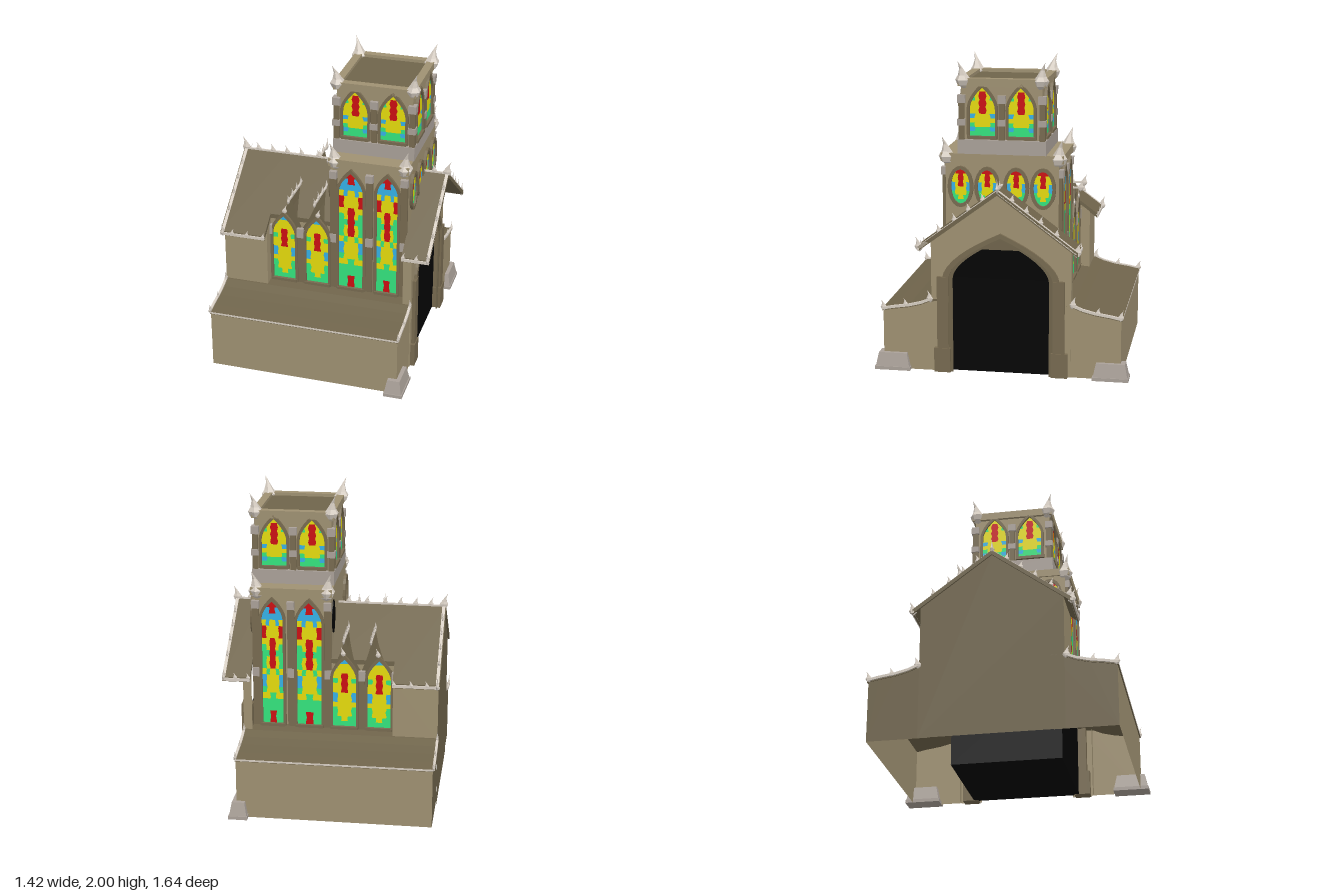
import * as THREE from 'three';

const mat = (name, color, extra = {}) => Object.assign(new THREE.MeshStandardMaterial({ color, ...extra }), { name });
const both = { side: THREE.DoubleSide };
const WALL = mat('wall stone', 0x9f9172, both);
const ROOF = mat('roof', 0x6f644b, both);
const FRAME = mat('frame stone', 0x776a50);
const TRIM = mat('pale trim', 0xd6cdc2);
const GREY = mat('grey stone', 0xaaa199);
const BLACK = mat('dark interior', 0x040404);
const GLASS = [mat('yellow glass', 0xe6dc0c, both), mat('red glass', 0xcc0e12, both), mat('green glass', 0x34e47e, both), mat('blue glass', 0x36b4ea, both)];

// Glass rows run top to bottom; each row is outer, middle, centre and is mirrored
const TALL = 'BRR BBR BBB YBY RYY RYY YYR GYR GGR GYR GYR YGY BYY BYY GYY YYG GGG GGG GGR GGR'.split(' ');
const AISLE = 'BBB BYY YYY YYR GYR YYR YYR BYY BYY YYY GYY GYY GGY GGG'.split(' ');
const BELFRY = 'YYY BYR GYR YYR YYR YYR BYY YYY GYY BGG GGG'.split(' ');
const ROUND = 'YRR YYR YYR BYR BYY GYY GGY GGG'.split(' ');

export function createModel() {
  const root = new THREE.Group();

  function add(geo, material, name, parent = root) {
    const m = new THREE.Mesh(geo, material);
    m.name = name;
    parent.add(m);
    return m;
  }
  // Box given by its limits
  function box(x0, x1, y0, y1, z0, z1, material, name, parent) {
    const m = add(new THREE.BoxGeometry(x1 - x0, y1 - y0, z1 - z0), material, name, parent);
    m.position.set((x0 + x1) / 2, (y0 + y1) / 2, (z0 + z1) / 2);
    return m;
  }
  // [z, y] outlines: solid along x, open shell along x, flat end wall
  const outlineX = pts => new THREE.Shape(pts.map(([z, y]) => new THREE.Vector2(-z, y)));
  function extrudeX(pts, x0, x1, material, name) {
    const g = new THREE.ExtrudeGeometry(outlineX(pts), { depth: x1 - x0, bevelEnabled: false });
    return add(g.rotateY(Math.PI / 2).translate(x0, 0, 0), material, name);
  }
  function shellX(pts, x0, x1, material, name) {
    const v = [];
    for (let i = 0; i + 1 < pts.length; i++) {
      const [[z, y], [w, u]] = [pts[i], pts[i + 1]];
      v.push(x0, y, z, x1, y, z, x1, u, w, x0, y, z, x1, u, w, x0, u, w);
    }
    const g = new THREE.BufferGeometry();
    g.setAttribute('position', new THREE.Float32BufferAttribute(v, 3));
    g.computeVertexNormals();
    add(g, material, name);
  }
  const wallX = (pts, x, material, name) =>
    add(new THREE.ShapeGeometry(outlineX(pts)).rotateY(Math.PI / 2).translate(x, 0, 0), material, name);
  // Square bar between two points
  function bar(a, b, t, material, name) {
    const A = new THREE.Vector3(...a), B = new THREE.Vector3(...b);
    const m = add(new THREE.BoxGeometry(t, t, A.distanceTo(B)), material, name);
    m.position.copy(A).add(B).multiplyScalar(0.5);
    m.lookAt(B);
  }
  // Pointed leaf ornament curling towards (dx, dz); flat when it follows an edge
  function horn(x, y, z, s, dx = 0, dz = 0, name = 'cornerHorn') {
    const pts = [[0, -0.5], [0.32, -0.25], [0.42, 0.02], [0.26, 0.25], [0.1, 0.6], [0, 1]];
    let g = new THREE.LatheGeometry(pts.map(p => new THREE.Vector2(...p)), 6);
    const p = g.attributes.position;
    for (let i = 0; i < p.count; i++) {
      const k = 0.35 * p.getY(i) * Math.abs(p.getY(i));
      p.setX(i, p.getX(i) * (dx ? 1 : 0.4) + dx * k);
      p.setZ(i, p.getZ(i) * (dz ? 1 : 0.4) + dz * k);
    }
    g = g.toNonIndexed();
    g.computeVertexNormals();
    g.scale(s, s, s);
    add(g, TRIM, name).position.set(x, y, z);
  }

  // Half width of a pointed arch opening at height y
  const archHalf = (y, w, spring, top) => y <= spring ? w : w * (1 - Math.min(1, (y - spring) / (top - spring)) ** 1.8);
  // Arch curve from the right foot over the top to the left foot
  function archPts(w, y0, spring, top) {
    const r = [[w, y0]];
    for (let i = 0; i <= 8; i++) {
      const y = spring + (top - spring) * i / 8;
      r.push([archHalf(y, w, spring, top), y]);
    }
    return r.concat(r.slice(0, -1).reverse().map(([a, b]) => [-a, b]));
  }
  const ovalPts = (w, y0, y1) => Array.from({ length: 20 }, (_, i) => {
    const a = i / 20 * Math.PI * 2;
    return [w * Math.cos(a), (y0 + y1) / 2 + (y1 - y0) / 2 * Math.sin(a)];
  });

  // Stained glass window with a raised frame, turned to face its wall
  function windowAt(name, rows, w, y0, y1, x, z, rot, round = false) {
    const g = new THREE.Group();
    g.name = name;
    g.position.set(x, 0, z);
    g.rotation.y = rot;
    root.add(g);
    const spring = y1 - w * 1.7, n = rows.length * 3;
    const half = y => round
      ? w * Math.sqrt(Math.max(0, 1 - ((2 * y - y0 - y1) / (y1 - y0)) ** 2))
      : archHalf(y, w, spring, y1);
    const edge = (c, y, i) => {
      const wob = c > 0 && c < 5 ? 0.04 * Math.sin(i * 1.3) * Math.sign(c - 2.5) : 0;
      const h = half(y);
      return Math.max(-h, Math.min(h, ([-1, -0.6, -0.28, 0.28, 0.6, 1][c] + wob) * w));
    };
    const bins = [[], [], [], []];
    for (let i = 0; i < n; i++) {
      const yt = y1 - (y1 - y0) * i / n, yb = y1 - (y1 - y0) * (i + 1) / n;
      const row = rows[Math.floor(i / 3)];
      for (let c = 0; c < 5; c++) {
        const a = [edge(c, yb, i + 1), yb, 0], b = [edge(c + 1, yb, i + 1), yb, 0];
        const d = [edge(c, yt, i), yt, 0], e = [edge(c + 1, yt, i), yt, 0];
        bins['YRGB'.indexOf(row[Math.min(c, 4 - c)])].push(...a, ...b, ...e, ...a, ...e, ...d);
      }
    }
    const geo = new THREE.BufferGeometry();
    geo.setAttribute('position', new THREE.Float32BufferAttribute(bins.flat(), 3));
    let start = 0;
    bins.forEach((b, i) => { geo.addGroup(start, b.length / 3, i); start += b.length / 3; });
    geo.computeVertexNormals();
    add(geo, GLASS, 'glass', g).position.z = 0.005;
    add(geo, GLASS, 'innerGlass', g).position.z = -0.013;

    const toV = p => p.map(q => new THREE.Vector2(...q));
    const b = round ? 0.022 : 0.018;
    const s = new THREE.Shape(toV(round ? ovalPts(w + b, y0 - b, y1 + b) : archPts(w + b, y0 - b, spring, y1 + b * 1.6)));
    s.holes.push(new THREE.Path(toV(round ? ovalPts(w, y0, y1) : archPts(w, y0, spring, y1))));
    add(new THREE.ExtrudeGeometry(s, { depth: 0.018, bevelEnabled: false }), FRAME, 'windowFrame', g);
    if (!round) box(-w - 0.01, w + 0.01, y0 - 0.02, y0, 0, 0.025, FRAME, 'windowSill', g);
  }

  // Hollow nave, tower shaft and porch, with an arched entrance
  const roofY = z => 1.2 - 0.74 * Math.abs(z);
  const gable = (W, y0 = 0.46) => [[-W, y0], [-W, roofY(W)], [0, 1.2], [W, roofY(W)], [W, y0]];
  const W = 0.36;
  shellX(gable(0.45), -0.69, -0.4, WALL, 'naveEnd');
  wallX(gable(0.45, 0), -0.69, ROOF, 'naveBackWall');
  for (const s of [-1, 1]) wallX([[s * W, 0.46], [s * 0.45, 0.46], [s * 0.45, roofY(0.45)], [s * W, roofY(W)]], -0.4, WALL, 'naveReturn');
  shellX(gable(W), -0.4, 0.01, WALL, 'naveBody');
  shellX([[-W, 0.46], [-W, 1.4], [W, 1.4], [W, 0.46]], 0.01, 0.515, WALL, 'towerShaft');
  for (const x of [0.01, 0.515])
    wallX([[-W, 0.46], [-W, 1.4], [W, 1.4], [W, 0.46], [0.345, 0.46], [0.345, 0.88], [0, 1.15], [-0.345, 0.88], [-0.345, 0.46]], x, WALL, 'towerEnd');
  shellX(gable(0.45, 0), 0.515, 0.57, WALL, 'porchSide');
  wallX([...gable(0.45, 0), ...archPts(0.31, 0, 0.62, 0.88)], 0.57, WALL, 'porchWall');
  box(-0.19, 0.54, 0.001, 0.62, -0.355, 0.355, BLACK, 'darkInterior');

  // Roof slabs
  function roofSlab(H, x0, x1, trimmed) {
    const t = 0.025;
    extrudeX([[-H, roofY(H) - 0.005], [-H, roofY(H) + t], [0, 1.2 + t], [H, roofY(H) + t], [H, roofY(H) - 0.005], [0, 1.195]], x0, x1, ROOF, 'naveRoof');
    if (trimmed) for (const s of [-1, 1]) bar([x0, roofY(H) + 0.01, s * H], [x1, roofY(H) + 0.01, s * H], 0.018, TRIM, 'eaveTrim');
  }
  roofSlab(0.5, -0.7, -0.4, true);
  roofSlab(0.365, -0.4, 0.01, false);
  roofSlab(0.505, 0.515, 0.695, true);
  bar([-0.7, 1.225, 0], [0.01, 1.225, 0], 0.012, TRIM, 'ridgeTrim');
  bar([0.515, 1.225, 0], [0.695, 1.225, 0], 0.012, TRIM, 'ridgeTrim');
  for (const x of [-0.6, -0.5, -0.4, -0.3, -0.18, -0.06, 0.6]) horn(x, 1.235, 0, 0.045, -1, 0, 'ridgeCrest');
  for (const [x, d] of [[-0.685, -1], [0.685, 1]]) {
    horn(x, 1.235, 0, 0.075, d, 0, 'ridgeFinial');
    for (const s of [-1, 1]) {
      bar([x, 1.218, 0], [x, roofY(0.5) + 0.015, s * 0.5], 0.02, TRIM, 'gableTrim');
      for (const z of [0.09, 0.18, 0.27, 0.37]) horn(x, roofY(z) + 0.03, s * z, 0.045, 0, s, 'gableCrest');
      horn(x, roofY(0.5) + 0.02, s * 0.5, 0.065, 0, s, 'eaveFinial');
    }
  }
  for (const s of [-1, 1]) for (const x of [-0.62, -0.52, -0.41, 0.525, 0.61])
    horn(x, roofY(0.5) + 0.02, s * 0.505, 0.035, 1, 0, 'eaveCrest');

  // Side aisles with swept roofs, open below
  const sweep = [[0.775, 0.4], [0.7, 0.415], [0.6, 0.43], [0.52, 0.45], [0.46, 0.475], [0.36, 0.485]];
  for (const s of [-1, 1]) {
    const m = p => p.map(([z, y]) => [z * s, y]);
    const end = m([[0.38, 0], [0.768, 0], [0.768, 0.39], ...sweep.slice(1).map(([z, y]) => [z, y - 0.01]), [0.38, 0.47]]);
    shellX(m([[0.768, 0], [0.768, 0.395]]), -0.685, 0.565, WALL, 'aisleWall');
    wallX(end, -0.685, ROOF, 'aisleBackWall');
    wallX(end, 0.565, WALL, 'aisleFrontWall');
    extrudeX(m([...sweep, ...sweep.map(([z, y]) => [z, y - 0.015]).reverse()]), -0.69, 0.57, ROOF, 'aisleRoof');
    bar([-0.69, 0.394, s * 0.77], [0.57, 0.394, s * 0.77], 0.012, TRIM, 'aisleEave');
    for (const x of [-0.69, 0.568]) {
      for (let i = 0; i < 4; i++)
        bar([x, sweep[i][1], s * sweep[i][0]], [x, sweep[i + 1][1], s * sweep[i + 1][0]], 0.016, TRIM, 'aisleEdgeTrim');
      horn(x, 0.41, s * 0.765, 0.05, 0, s, 'aisleFinial');
      horn(x, 0.435, s * 0.62, 0.04, 0, s, 'aisleCrest');
      horn(x, 0.48, s * 0.46, 0.055, 0, s, 'aisleCrest');
    }
    // Tapered foot at the entrance corner
    const foot = new THREE.BoxGeometry(0.12, 0.11, 0.23), p = foot.attributes.position;
    for (let i = 0; i < p.count; i++) if (p.getY(i) > 0) { p.setX(i, p.getX(i) * 0.68); p.setZ(i, p.getZ(i) * 0.8); }
    foot.computeVertexNormals();
    add(foot, GREY, 'cornerFoot').position.set(0.55, 0.055, s * 0.705);
    box(0.49, 0.612, 0, 0.022, s * 0.705 - 0.116, s * 0.705 + 0.116, GREY, 'footBase');
  }

  // Portal surround
  for (const [wo, to, wi, ti, d, m] of [[0.375, 0.925, 0.335, 0.895, 0.018, FRAME], [0.335, 0.895, 0.31, 0.88, 0.009, ROOF]])
    extrudeX([...archPts(wo, 0, 0.62, to), ...archPts(wi, 0, 0.62, ti).reverse()], 0.57, 0.57 + d, m, 'portalArch');
  for (const s of [-1, 1]) {
    const jamb = (a, b, y, x) => box(0.52, x, 0, y, Math.min(s * a, s * b), Math.max(s * a, s * b), FRAME, 'portalJamb');
    jamb(0.335, 0.41, 0.63, 0.592);
    jamb(0.325, 0.43, 0.16, 0.598);
  }

  // Long walls: aisle windows, dormers, tall tower windows and piers
  for (const s of [-1, 1]) {
    const rot = s > 0 ? 0 : Math.PI;
    const zBox = (x, w, y0, y1, d, m, name) =>
      box(x - w, x + w, y0, y1, Math.min(s * W, s * (W + d)), Math.max(s * W, s * (W + d)), m, name);
    for (const [x, ridge, l, r] of [[-0.305, -0.255, 0.145, 0.07], [-0.08, -0.08, 0.11, 0.085]]) {
      windowAt('aisleWindow', AISLE, 0.075, 0.5, 0.96, x, s * 0.37, rot);
      // Dormer with concave slopes running back into the roof
      const curve = [[1, 0.87], [0.72, 0.92], [0.42, 0.98], [0.18, 1.04], [0, 1.1]];
      const outline = [...curve.map(([a, b]) => [a * r, b]), ...curve.slice(0, -1).reverse().map(([a, b]) => [-a * l, b])];
      const g = new THREE.ExtrudeGeometry(new THREE.Shape(outline.map(q => new THREE.Vector2(...q))), { depth: 0.24, bevelEnabled: false });
      g.translate(0, 0, s > 0 ? 0.128 : -0.368);
      add(g, ROOF, 'dormer').position.x = ridge;
      bar([ridge, 1.1, s * 0.13], [ridge, 1.1, s * 0.42], 0.012, TRIM, 'dormerRidge');
      horn(ridge, 1.1, s * 0.425, 0.055, 0, s, 'dormerFinial');
      for (const z of [0.16, 0.25, 0.34]) horn(ridge, 1.11, s * z, 0.05, 0, s, 'dormerCrest');
      horn(x + 0.008, 1.0, s * 0.385, 0.045, 1, 0, 'windowFinial');
    }
    for (const x of [-0.405, -0.193]) {
      zBox(x, 0.018, 0.46, 0.86, 0.022, FRAME, 'navePier');
      zBox(x, 0.022, 0.82, 0.885, 0.032, GREY, 'pierCapital');
    }
    for (const x of [0.148, 0.387]) windowAt('tallWindow', TALL, x < 0.3 ? 0.08 : 0.068, 0.5, 1.33, x, s * 0.37, rot);
    for (const x of [0.03, 0.268, 0.495]) {
      zBox(x, 0.022, 0.46, 1.3, 0.02, FRAME, 'towerPier');
      zBox(x, 0.023, 0.82, 0.88, 0.027, GREY, 'pierBand');
      zBox(x, 0.024, 1.28, 1.33, 0.03, GREY, 'pierCapital');
    }
    zBox(0.06, 0.45, 0.46, 0.48, 0.03, FRAME, 'wallPlinth');
  }

  // Oval windows on the tower ends, one of the rear pair unglazed
  for (const z of [-0.262, -0.092, 0.092, 0.262]) windowAt('ovalWindow', ROUND, 0.06, 1.1, 1.32, 0.52, z, Math.PI / 2, true);
  windowAt('ovalWindow', ROUND, 0.06, 1.1, 1.32, 0.005, 0.262, -Math.PI / 2, true);
  extrudeX(ovalPts(0.06, 1.1, 1.32).map(([z, y]) => [z - 0.262, y]), 0.003, 0.009, BLACK, 'unglazedOval');

  // Tower shoulder, ledge and horns
  box(0.0, 0.525, 1.37, 1.42, -0.39, 0.39, WALL, 'towerCornice');
  box(0.0, 0.53, 1.42, 1.51, -0.28, 0.28, GREY, 'belfryLedge');
  for (const [x, d] of [[0.035, -1], [0.49, 1]]) for (const s of [-1, 1]) horn(x, 1.395, s * 0.355, 0.13, d * 0.6, s * 0.6);

  // Belfry
  const cx = 0.265;
  box(cx - 0.245, cx + 0.245, 1.51, 1.86, -0.255, 0.255, WALL, 'belfry');
  box(cx - 0.215, cx + 0.215, 1.86, 1.875, -0.23, 0.23, ROOF, 'belfryRoof');
  for (const s of [-1, 1]) {
    box(cx - 0.265, cx + 0.265, 1.845, 1.895, s * 0.25 - 0.025, s * 0.25 + 0.025, WALL, 'parapet');
    box(cx + s * 0.24 - 0.025, cx + s * 0.24 + 0.025, 1.845, 1.895, -0.225, 0.225, WALL, 'parapet');
    for (const o of [-0.122, 0.122]) {
      windowAt('belfryWindow', BELFRY, 0.08, 1.535, 1.84, cx + o, s * 0.257, s > 0 ? 0 : Math.PI);
      windowAt('belfryWindow', BELFRY, 0.08, 1.535, 1.84, cx + s * 0.247, o, s * Math.PI / 2);
    }
    for (const k of [-1, 1]) horn(cx + k * 0.242, 1.882, s * 0.245, 0.12, k * 0.7, s * 0.7);
  }
  for (const [x, z] of [[-1, -1], [-1, 0], [-1, 1], [0, -1], [0, 1], [1, -1], [1, 0], [1, 1]]) {
    const px = cx + x * 0.245, pz = z * 0.255;
    const post = (w, y0, y1, m, n) => box(px - w, px + w, y0, y1, pz - w, pz + w, m, n);
    post(0.018, 1.51, 1.76, FRAME, 'belfryPost');
    post(0.025, 1.74, 1.79, GREY, 'postCapital');
    post(0.025, 1.6, 1.64, GREY, 'postBand');
  }

  return root;
}
